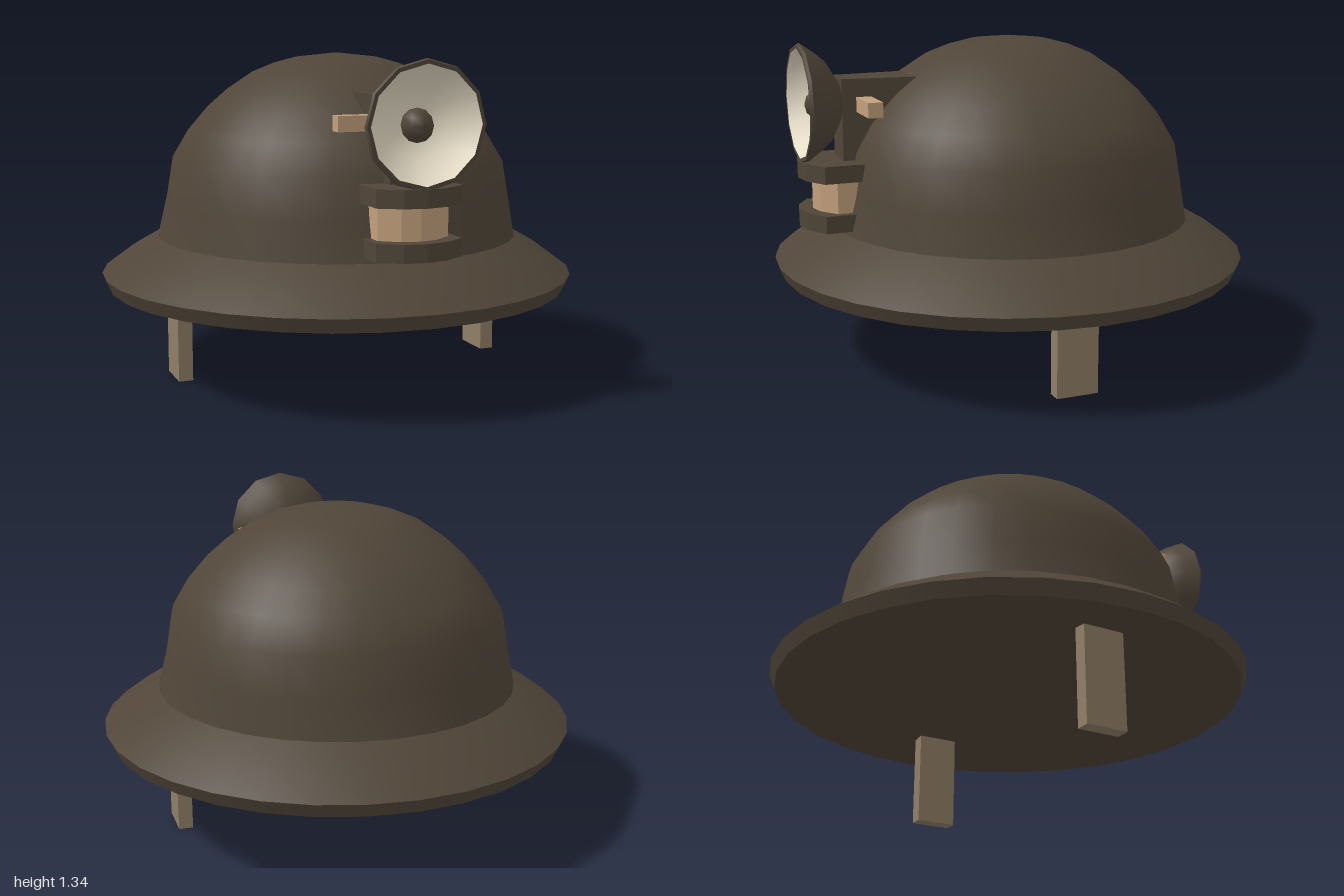
import * as THREE from 'three';
import { mergeVertices } from 'three/addons/utils/BufferGeometryUtils.js';

const mat = (name, color) => {
  const m = new THREE.MeshStandardMaterial({ color });
  m.name = name;
  return m;
};

export function createModel() {
  const group = new THREE.Group();
  const shell = mat('dark brown shell', 0x504538);
  const tan = mat('tan leather', 0xc2a07c);
  const strap = mat('strap brown', 0x8f7e65);
  const cream = mat('cream reflector', 0xe6dcc6);

  const add = (name, geo, material, x = 0, y = 0, z = 0) => {
    const mesh = new THREE.Mesh(geo, material);
    mesh.name = name;
    mesh.position.set(x, y, z);
    group.add(mesh);
    return mesh;
  };
  const lathe = (pts, sides, start = 0) =>
    new THREE.LatheGeometry(pts.map(p => new THREE.Vector2(...p)), sides, start);

  // Dome rings: radius, height, swell on the diagonals
  const rings = [[0.765, 0.576, 0], [0.722, 0.732, 0.027], [0.695, 0.897, 0.026], [0.63, 1.013, 0.016],
    [0.548, 1.113, 0.005], [0.465, 1.188, -0.004], [0.358, 1.26, -0.008], [0.265, 1.298, -0.006],
    [0.17, 1.323, -0.003], [0, 1.341, 0]];
  let dome = lathe(rings, 32);
  const pos = dome.attributes.position;
  for (let i = 0; i < pos.count; i++) {
    const x = pos.getX(i), z = pos.getZ(i);
    const swell = 1 + rings[i % rings.length][2] * Math.sin(2 * Math.atan2(x, z)) ** 2;
    pos.setXYZ(i, x * swell, pos.getY(i), z * swell);
  }
  dome.deleteAttribute('normal');
  dome.deleteAttribute('uv');
  dome = mergeVertices(dome, 1e-4);
  dome.computeVertexNormals();
  add('dome', dome, shell);

  // Brim: separate lathes keep the creases sharp
  add('brim', lathe([[1, 0.425], [0.89, 0.506], [0.765, 0.576]], 32), shell);
  add('brimEdge', lathe([[0.975, 0.367], [1, 0.425]], 32), shell);
  add('underside', lathe([[0, 0.425], [0.7, 0.402], [0.975, 0.367]], 32), shell);

  // Chin straps
  for (const s of [-1, 1]) {
    add(s > 0 ? 'leftStrap' : 'rightStrap', new THREE.BoxGeometry(0.06, 0.42, 0.175), strap, s * 0.7, 0.21, 0);
  }

  // Lamp arm, wider towards the dome
  const extrude = (outline, depth) =>
    new THREE.ExtrudeGeometry(new THREE.Shape(outline.map(p => new THREE.Vector2(...p))),
      { depth, bevelEnabled: false }).rotateX(-Math.PI / 2);
  add('lampArm', extrude([[-0.075, -0.74], [0.075, -0.74], [0.12, -0.3], [-0.12, -0.3]], 0.33), shell, 0, 0.867, 0);
  add('crossBar', new THREE.BoxGeometry(0.52, 0.06, 0.06), tan, 0, 1.094, 0.653);

  // Lamp dish, facing forward
  const dish = (name, pts, material) =>
    add(name, lathe(pts, 12, Math.PI).rotateX(Math.PI / 2), material, 0, 1.097, 0);
  dish('lampShell', [[0, 0.735], [0.085, 0.74], [0.165, 0.787], [0.205, 0.835], [0.242, 0.888]], shell);
  dish('lampRim', [[0.242, 0.888], [0.237, 0.9]], shell);
  dish('lampRimFace', [[0.237, 0.9], [0.222, 0.9]], shell);
  dish('reflector', [[0.222, 0.9], [0.19, 0.85], [0.13, 0.8], [0.07, 0.772], [0, 0.765]], cream);
  add('bulb', new THREE.SphereGeometry(0.065, 8, 6), shell, 0, 1.092, 0.81);

  // Bow-fronted holder below the lamp
  const holder = (name, w, front, y, h, material) =>
    add(name, extrude([[-w, -0.6], [-w, 0.07 - front], [-w / 2, 0.016 - front], [0, -front],
      [w / 2, 0.016 - front], [w, 0.07 - front], [w, -0.6]].reverse(), h), material, 0, y, 0);
  holder('holderBase', 0.175, 0.91, 0.598, 0.07, shell);
  holder('holderBand', 0.145, 0.855, 0.668, 0.13, tan);
  holder('holderTop', 0.175, 0.91, 0.798, 0.07, shell);

  return group;
}
